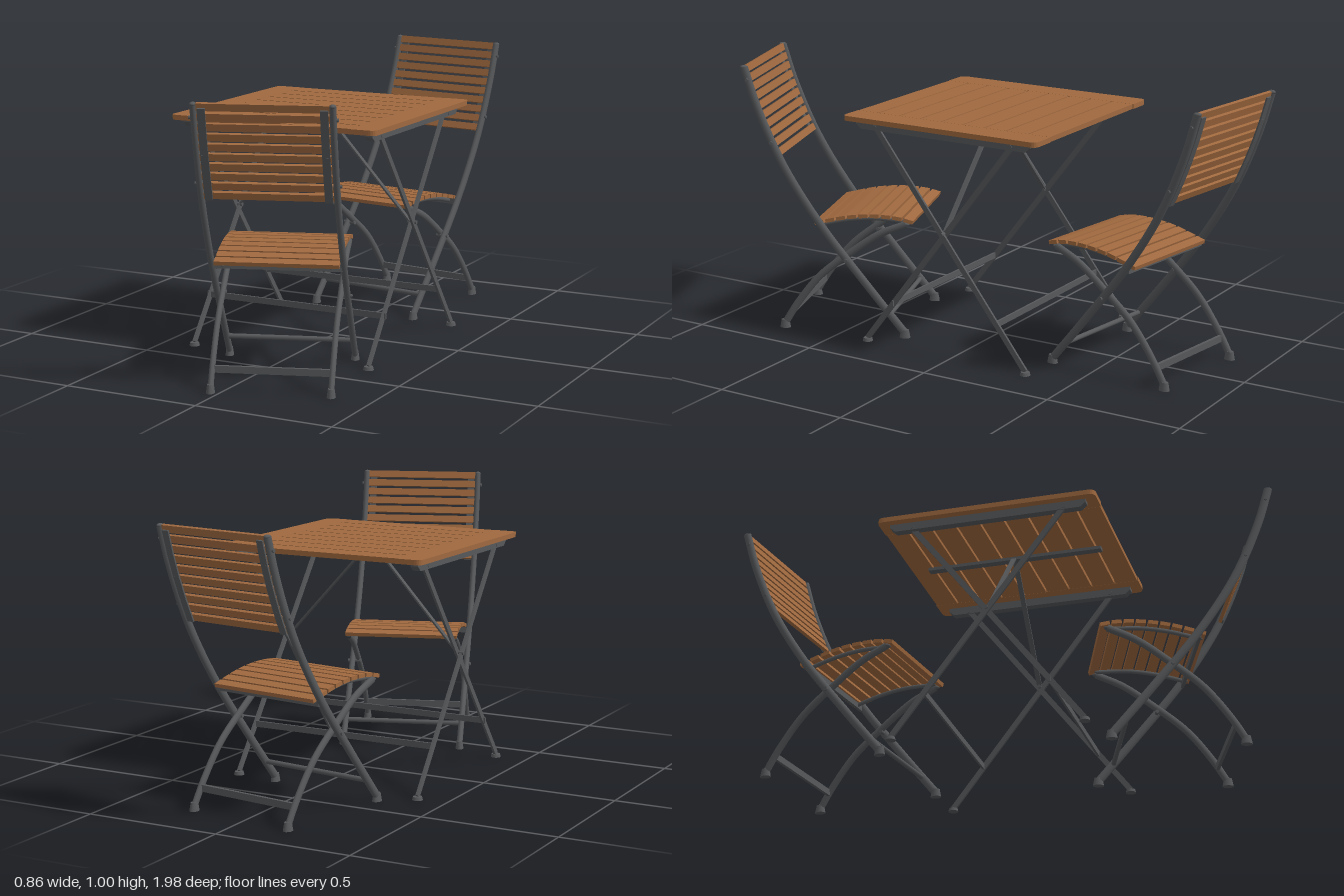
import * as THREE from 'three';

const wood = new THREE.MeshStandardMaterial({ color: 0xa0693f });
wood.name = 'warm wood';
const metal = new THREE.MeshStandardMaterial({ color: 0x56585a });
metal.name = 'dark grey metal';

const V = (x, y, z) => new THREE.Vector3(x, y, z);

function add(parent, name, geometry, material, x = 0, y = 0, z = 0) {
  const mesh = new THREE.Mesh(geometry, material);
  mesh.name = name;
  mesh.position.set(x, y, z);
  parent.add(mesh);
  return mesh;
}

// Flat bar between two points
function bar(parent, name, a, b, w, t, material = metal) {
  const dir = b.clone().sub(a);
  const mid = a.clone().add(b).multiplyScalar(0.5);
  const mesh = add(parent, name, new THREE.BoxGeometry(w, dir.length(), t), material, mid.x, mid.y, mid.z);
  mesh.quaternion.setFromUnitVectors(V(0, 1, 0), dir.normalize());
  return mesh;
}

// Round rod or bolt lying along x
function rod(parent, name, x, y, z, length, radius) {
  add(parent, name, new THREE.CylinderGeometry(radius, radius, length, 10), metal, x, y, z).rotation.z = Math.PI / 2;
}

// Smooth curve in the side plane from [z, y] pairs
const sideCurve = (pts) => new THREE.CatmullRomCurve3(pts.map(([z, y]) => V(0, y, z)));

// Flattened tube with rounded ends
function ovalTube(parent, name, curve, x, radius) {
  add(parent, name, new THREE.TubeGeometry(curve, 32, radius, 12).scale(0.75, 1, 1), metal, x);
  for (const t of [0, 1]) {
    const p = curve.getPoint(t);
    add(parent, name + 'End', new THREE.SphereGeometry(radius, 12, 6).scale(0.75, 0.5, 1), metal, x, p.y, p.z);
  }
}

// Parameter at which a rising curve reaches a height
function paramAtY(curve, y) {
  let lo = 0, hi = 1;
  for (let i = 0; i < 30; i++) {
    const m = (lo + hi) / 2;
    if (curve.getPoint(m).y < y) lo = m; else hi = m;
  }
  return lo;
}

function createTable() {
  const table = new THREE.Group();
  table.name = 'table';
  const half = 0.4, inner = 0.3, r = 0.025, thick = 0.018, topY = 0.85;

  // End boards with softened outer corners
  for (const s of [-1, 1]) {
    const shape = new THREE.Shape();
    shape.moveTo(inner + 0.001, -half);
    shape.lineTo(half - r, -half);
    shape.quadraticCurveTo(half, -half, half, -half + r);
    shape.lineTo(half, half - r);
    shape.quadraticCurveTo(half, half, half - r, half);
    shape.lineTo(inner + 0.001, half);
    const geo = new THREE.ExtrudeGeometry(shape, { depth: thick, bevelEnabled: false, curveSegments: 5 });
    geo.rotateX(-Math.PI / 2);
    if (s < 0) geo.rotateY(Math.PI);
    add(table, 'endBoard', geo, wood, 0, topY - thick, 0);
  }

  // Slats
  const pitch = 2 * half / 9;
  for (let i = 0; i < 9; i++) {
    add(table, 'tableSlat', new THREE.BoxGeometry(2 * inner, thick, pitch - 0.007), wood,
      0, topY - thick / 2, -half + pitch * (i + 0.5));
  }

  // Tapered rails under the top
  const railShape = new THREE.Shape([[-0.36, 0.832], [-0.36, 0.82], [-0.34, 0.803], [0.34, 0.803], [0.36, 0.82], [0.36, 0.832]]
    .map(([a, b]) => new THREE.Vector2(a, b)));
  const railGeo = new THREE.ExtrudeGeometry(railShape, { depth: 0.03, bevelEnabled: false });
  railGeo.translate(0, 0, -0.015).rotateY(Math.PI / 2);
  for (const s of [-1, 1]) add(table, 'sideRail', railGeo, metal, s * 0.356);
  add(table, 'centreRail', new THREE.BoxGeometry(0.03, 0.012, 0.66), metal, 0, 0.826, 0);

  // Crossed legs, foot pads, bolts and braces on each side
  for (const s of [-1, 1]) {
    for (const [x, k] of [[0.363, 1], [0.35, -1]]) {
      bar(table, 'tableLeg', V(s * x, 0.012, -0.34 * k), V(s * x, 0.815, 0.28 * k), 0.009, 0.02);
      add(table, 'footPad', new THREE.CylinderGeometry(0.016, 0.019, 0.012, 14), metal, s * x, 0.006, -0.34 * k);
      rod(table, 'topBolt', s * 0.356, 0.815, 0.28 * k, 0.034, 0.008);
    }
    rod(table, 'pivotBolt', s * 0.356, 0.46, 0, 0.036, 0.007);
    bar(table, 'brace', V(s * 0.345, 0.465, 0), V(s * 0.015, 0.822, 0), 0.006, 0.018);
  }

  // Stretchers between the legs
  for (const k of [-1, 1]) {
    bar(table, 'stretcher', V(-0.36, 0.165, 0.222 * k), V(0.36, 0.165, 0.222 * k), 0.022, 0.008);
  }
  return table;
}

// Chair with front feet at z = 0, leaning back towards +z
function createChair() {
  const chair = new THREE.Group();
  chair.name = 'foldingChair';
  const stile = sideCurve([[0, 0.012], [0.153, 0.2], [0.322, 0.417], [0.458, 0.635], [0.549, 0.845], [0.594, 0.99]]);
  const shortLeg = sideCurve([[0.475, 0.012], [0.42, 0.1], [0.33, 0.212], [0.215, 0.305], [0.1, 0.385], [0, 0.428]]);
  const seatLine = sideCurve([[-0.03, 0.436], [0.03, 0.449], [0.12, 0.453], [0.22, 0.443], [0.35, 0.412]]);
  const railLine = sideCurve([[0, 0.432], [0.12, 0.438], [0.22, 0.428], [0.33, 0.403]]);

  for (const s of [-1, 1]) {
    ovalTube(chair, 'backStile', stile, s * 0.225, 0.015);
    ovalTube(chair, 'shortLeg', shortLeg, s * 0.203, 0.0135);
    ovalTube(chair, 'seatRail', railLine, s * 0.185, 0.008);
    // Feet
    for (const [x, z] of [[0.225, 0.004], [0.203, 0.472]]) {
      add(chair, 'foot', new THREE.CylinderGeometry(0.013, 0.018, 0.03, 14).scale(0.85, 1, 1.15), metal, s * x, 0.015, z);
    }
    // Bolts
    rod(chair, 'pivotBolt', s * 0.217, 0.285, 0.222, 0.05, 0.007);
    for (const y of [0.715, 0.945]) {
      rod(chair, 'backBolt', s * 0.225, y, stile.getPoint(paramAtY(stile, y)).z, 0.034, 0.006);
    }
    // Mounting strips behind the back slats
    for (let i = 0; i < 4; i++) {
      const [a, b] = [0.66 + i * 0.08, 0.66 + (i + 1) * 0.08]
        .map((y) => stile.getPoint(paramAtY(stile, y)).add(V(s * 0.198, -0.003, 0.009)));
      bar(chair, 'backStrip', a, b, 0.026, 0.006);
    }
  }

  // Back slats following the stiles
  for (let i = 0; i < 10; i++) {
    const t = paramAtY(stile, 0.674 + i * 0.0342);
    const p = stile.getPoint(t), d = stile.getTangent(t);
    add(chair, 'backSlat', new THREE.BoxGeometry(0.43, 0.026, 0.012), wood, 0, p.y, p.z)
      .rotation.x = Math.atan2(d.z, d.y);
  }

  // Seat slats over a gentle curve
  for (let i = 0; i < 9; i++) {
    const t = (i + 0.5) / 9;
    const p = seatLine.getPointAt(t), d = seatLine.getTangentAt(t);
    add(chair, 'seatSlat', new THREE.BoxGeometry(0.425, 0.014, 0.035), wood, 0, p.y, p.z)
      .rotation.x = -Math.atan2(d.y, d.z);
  }

  // Cross bars
  bar(chair, 'seatRearBar', V(-0.22, 0.404, 0.322), V(0.22, 0.404, 0.322), 0.024, 0.012);
  bar(chair, 'rearLegBar', V(-0.2, 0.073, 0.436), V(0.2, 0.073, 0.436), 0.024, 0.012);
  rod(chair, 'frontLegBar', 0, 0.085, 0.06, 0.44, 0.009);
  return chair;
}

export function createModel() {
  const model = new THREE.Group();
  model.name = 'gardenTableAndChairs';

  const table = createTable();
  table.position.set(-0.03, 0, 0.026);
  model.add(table);

  for (const [name, x, z, turn] of [['frontChair', 0.007, 0.339, 0.336], ['rearChair', -0.054, -0.358, Math.PI - 0.14]]) {
    const chair = createChair();
    chair.name = name;
    chair.position.set(x, 0, z);
    chair.rotation.y = turn;
    model.add(chair);
  }
  return model;
}
